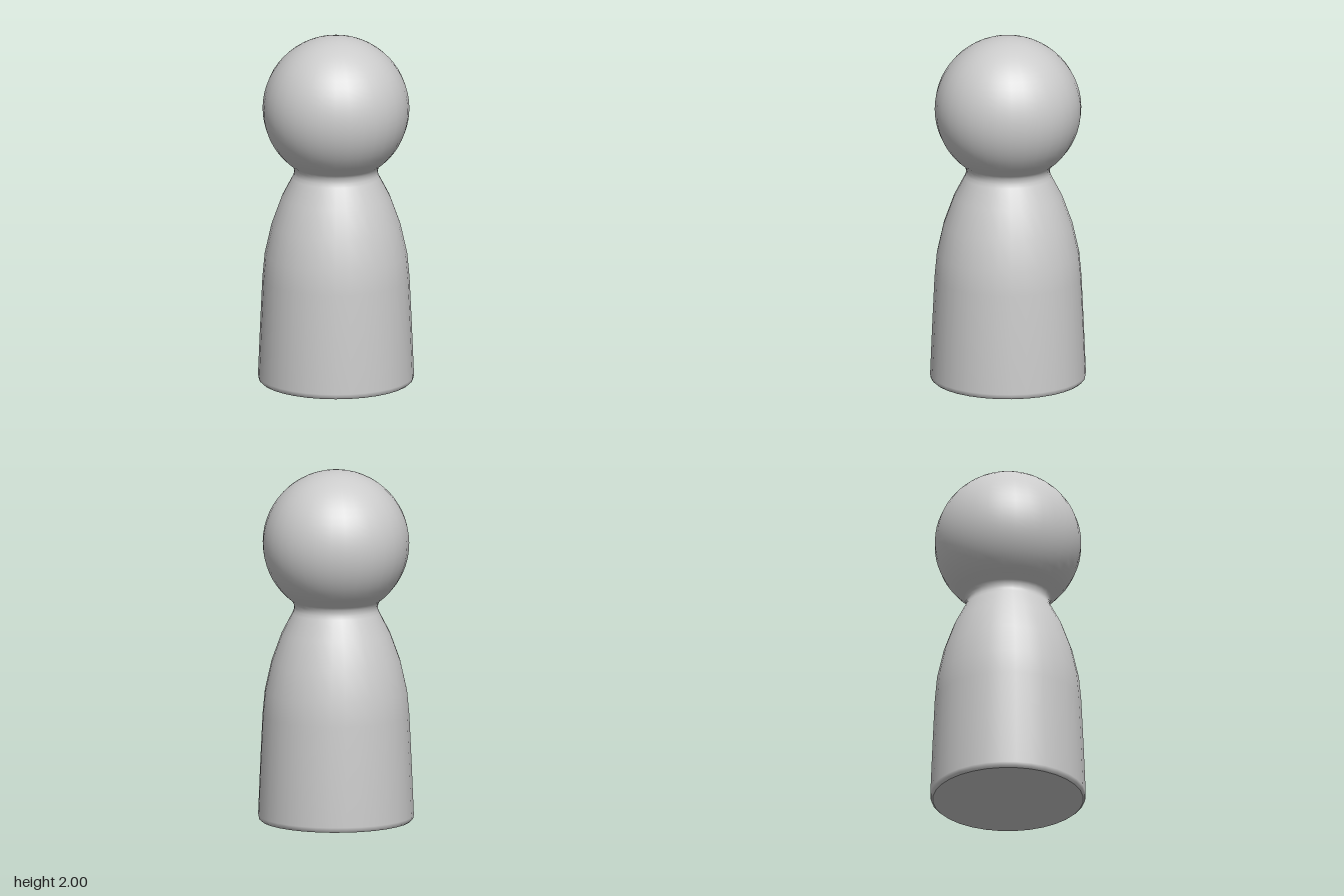
import * as THREE from 'three';

const SEGMENTS = 32;
const HEAD_R = 0.414;
const HEAD_Y = 2 - HEAD_R;
const BASE_R = 0.425;

export function createModel() {
  const group = new THREE.Group();
  group.name = 'pegFigure';
  const material = new THREE.MeshStandardMaterial({ color: 0xcccccc });

  // Body profile: bevelled foot, tapering sides, shoulders and pinched neck
  const profile = [
    [BASE_R, 0], [0.436, 0.01], [0.44, 0.03], [0.428, 0.32], [0.415, 0.6],
    [0.402, 0.74], [0.364, 0.91], [0.306, 1.07], [0.246, 1.185],
    [0.238, 1.205], [0.236, 1.222], [0.24, 1.239],
  ].map(([r, y]) => new THREE.Vector2(r, y));

  // Head profile: an arc from the neck up to the crown
  const start = -0.93;
  const steps = 24;
  for (let i = 0; i <= steps; i++) {
    const a = THREE.MathUtils.lerp(start, Math.PI / 2, i / steps);
    const r = i === steps ? 0 : HEAD_R * Math.cos(a);
    profile.push(new THREE.Vector2(r, HEAD_Y + HEAD_R * Math.sin(a)));
  }

  // Turned body and head in one smooth surface
  const figure = new THREE.Mesh(new THREE.LatheGeometry(profile, SEGMENTS), material);
  figure.name = 'bodyAndHead';
  group.add(figure);

  // Flat underside
  const base = new THREE.Mesh(new THREE.CircleGeometry(BASE_R, SEGMENTS), material);
  base.name = 'base';
  base.rotation.x = Math.PI / 2;
  group.add(base);

  return group;
}
